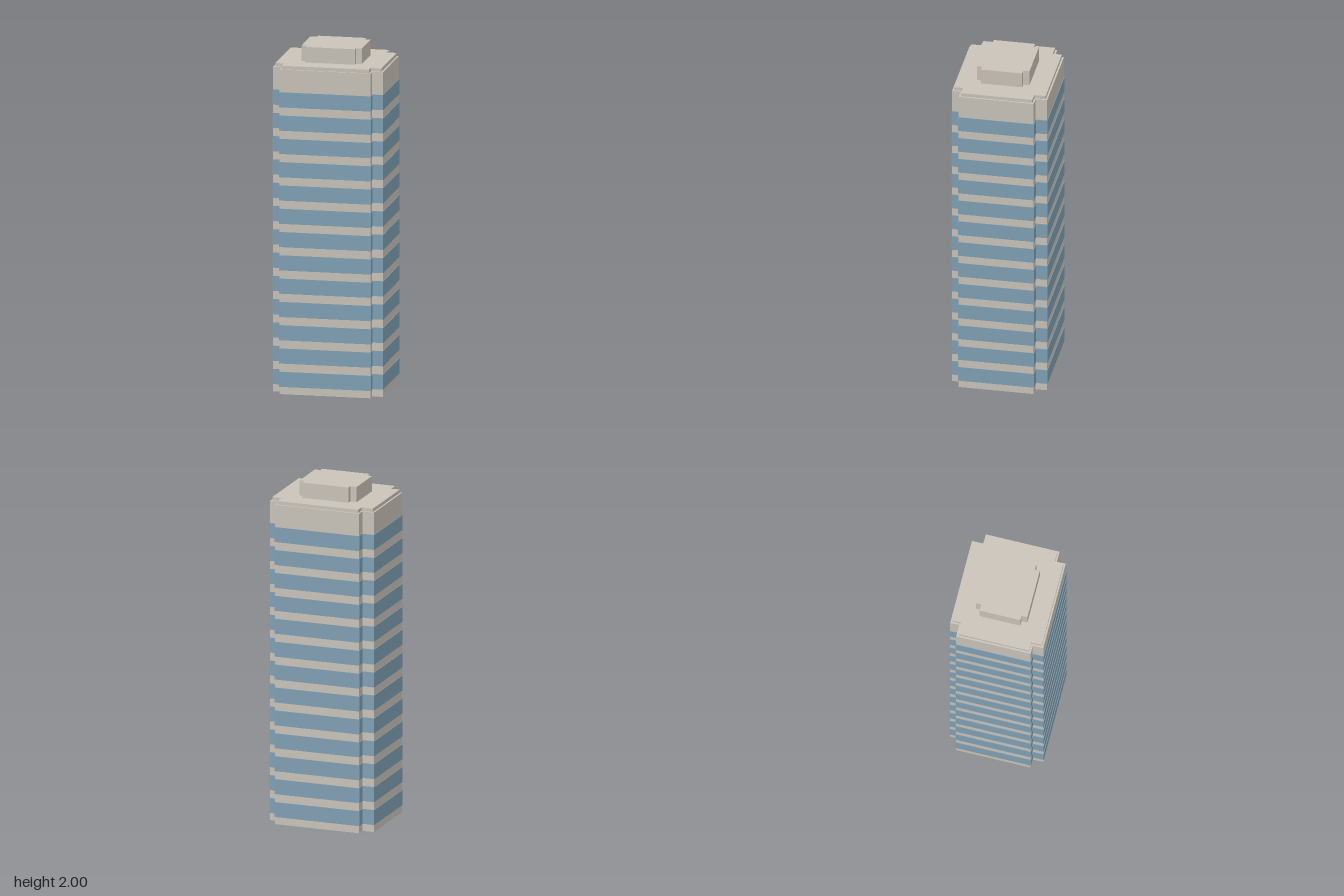
import * as THREE from 'three';

// Floor plan (x, z) of the window bands: a slightly skewed block with notched corners
const PLAN = [
  [-0.25, -0.282], [0.267, -0.277], [0.267, -0.211], [0.324, -0.209],
  [0.319, 0.23], [0.257, 0.228], [0.257, 0.28], [-0.276, 0.274],
  [-0.275, 0.212], [-0.326, 0.212], [-0.321, -0.23], [-0.25, -0.229],
].map(([x, z]) => new THREE.Vector2(x, z));

// Move every edge of the plan inwards by a distance
function inset(points, distance) {
  const n = points.length;
  const inward = (a, b) => {
    const d = b.clone().sub(a).normalize();
    return new THREE.Vector2(-d.y, d.x);
  };
  return points.map((p, i) => {
    const n1 = inward(points[(i + n - 1) % n], p);
    const n2 = inward(p, points[(i + 1) % n]);
    const shift = n1.clone().add(n2).multiplyScalar(distance / (1 + n1.dot(n2)));
    return p.clone().add(shift);
  });
}

// Raise a plan between two heights
function slab(name, points, y0, y1, material) {
  const shape = new THREE.Shape(points.map((p) => new THREE.Vector2(p.x, -p.y)));
  const geometry = new THREE.ExtrudeGeometry(shape, { depth: y1 - y0, bevelEnabled: false });
  geometry.rotateX(-Math.PI / 2);
  geometry.translate(0, y0, 0);
  const mesh = new THREE.Mesh(geometry, material);
  mesh.name = name;
  return mesh;
}

export function createModel() {
  const stone = new THREE.MeshStandardMaterial({ color: 0xc9c3b9 });
  stone.name = 'stone';
  const glass = new THREE.MeshStandardMaterial({ color: 0x80a0b4 });
  glass.name = 'glass';

  const tower = new THREE.Group();
  tower.name = 'officeTower';

  // Main shaft, roof slab and rooftop plant room
  const wall = inset(PLAN, 0.003);
  tower.add(slab('shaft', wall, 0, 1.89, stone));
  tower.add(slab('roofSlab', inset(PLAN, 0.013), 1.89, 1.91, stone));
  const plantPlan = wall.map((p) => p.clone().multiplyScalar(0.55));
  tower.add(slab('plantRoom', plantPlan, 1.91, 2, stone));

  // Window bands wrapping every floor
  const bands = new THREE.Group();
  bands.name = 'windowBands';
  for (let i = 0; i < 13; i++) {
    const y = 0.043 + i * 0.1356;
    bands.add(slab('windowBand', PLAN, y, y + 0.088, glass));
  }
  tower.add(bands);
  return tower;
}
